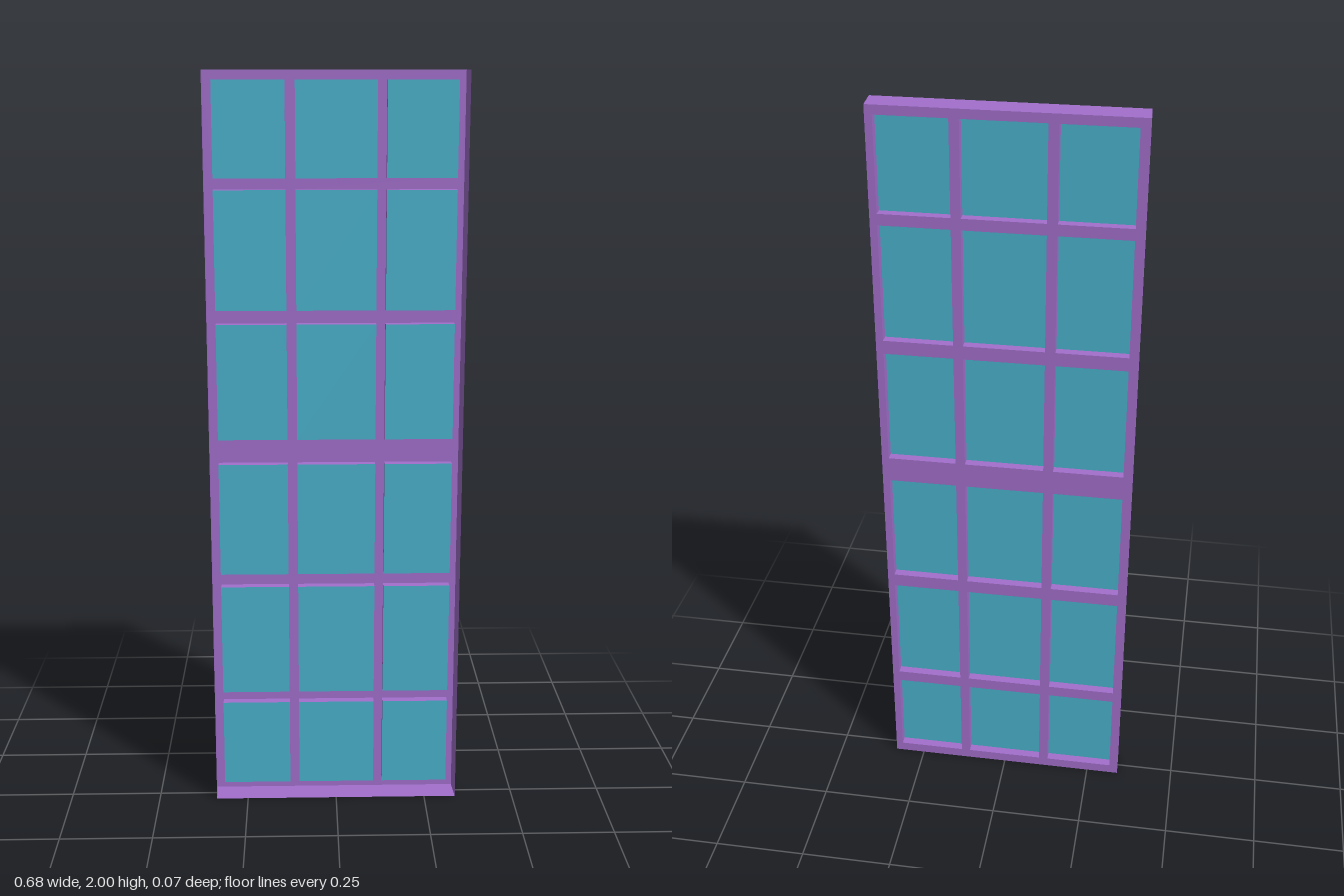
import * as THREE from 'three';

const BACK = -0.0355, FRONT = 0.0355, PANE = -0.011;
const COLS = [[-0.317, -0.13], [-0.104, 0.107], [0.132, 0.315]];
const ROWS = [[0.027, 0.273], [0.305, 0.618], [0.655, 0.968], [1.037, 1.35], [1.387, 1.7], [1.73, 1.976]];

const corners = ([x0, x1], [y0, y1]) => [[x0, y0], [x1, y0], [x1, y1], [x0, y1]];

// Four thin walls joining a rectangle at depth zA to one at depth zB
function wallRing(a, zA, b, zB) {
  const pos = [];
  for (let i = 0; i < 4; i++) {
    const j = (i + 1) % 4;
    const p = [...a[i], zA], q = [...a[j], zA], r = [...b[j], zB], s = [...b[i], zB];
    pos.push(...p, ...q, ...r, ...p, ...r, ...s);
  }
  const geo = new THREE.BufferGeometry();
  geo.setAttribute('position', new THREE.Float32BufferAttribute(pos, 3));
  geo.computeVertexNormals();
  return geo;
}

export function createModel() {
  const group = new THREE.Group();
  group.name = 'window';
  const frameMat = new THREE.MeshStandardMaterial({ color: 0xa26fcc, side: THREE.DoubleSide, flatShading: true });
  const glassMat = new THREE.MeshStandardMaterial({ color: 0x4ab2cc, side: THREE.DoubleSide, flatShading: true });
  const add = (name, geo, mat, parent = group) => {
    const mesh = new THREE.Mesh(geo, mat);
    mesh.name = name;
    parent.add(mesh);
    return mesh;
  };
  const outline = (pts) => pts.map(([x, y]) => new THREE.Vector2(x, y));

  // Outer casing, open at the front and very slightly skewed
  const backRect = corners([-0.341, 0.334], [0, 2]);
  const frontRect = corners([-0.338, 0.338], [0, 2]);
  add('casing', wallRing(backRect, BACK, frontRect, FRONT), frameMat);

  // Back lattice with one opening per pane
  const lattice = new THREE.Shape(outline(backRect));
  const panes = new THREE.Group();
  panes.name = 'panes';
  group.add(panes);
  for (const col of COLS) {
    for (const row of ROWS) {
      const rect = corners(col, row);
      lattice.holes.push(new THREE.Path(outline(rect).reverse()));

      // Reveal around the pane, then the glass itself
      add('reveal', wallRing(rect, BACK, rect, PANE), frameMat, panes);
      const glass = add('glass', new THREE.PlaneGeometry(col[1] - col[0], row[1] - row[0]), glassMat, panes);
      glass.position.set((col[0] + col[1]) / 2, (row[0] + row[1]) / 2, PANE);
    }
  }
  add('lattice', new THREE.ShapeGeometry(lattice), frameMat).position.z = BACK;

  return group;
}
